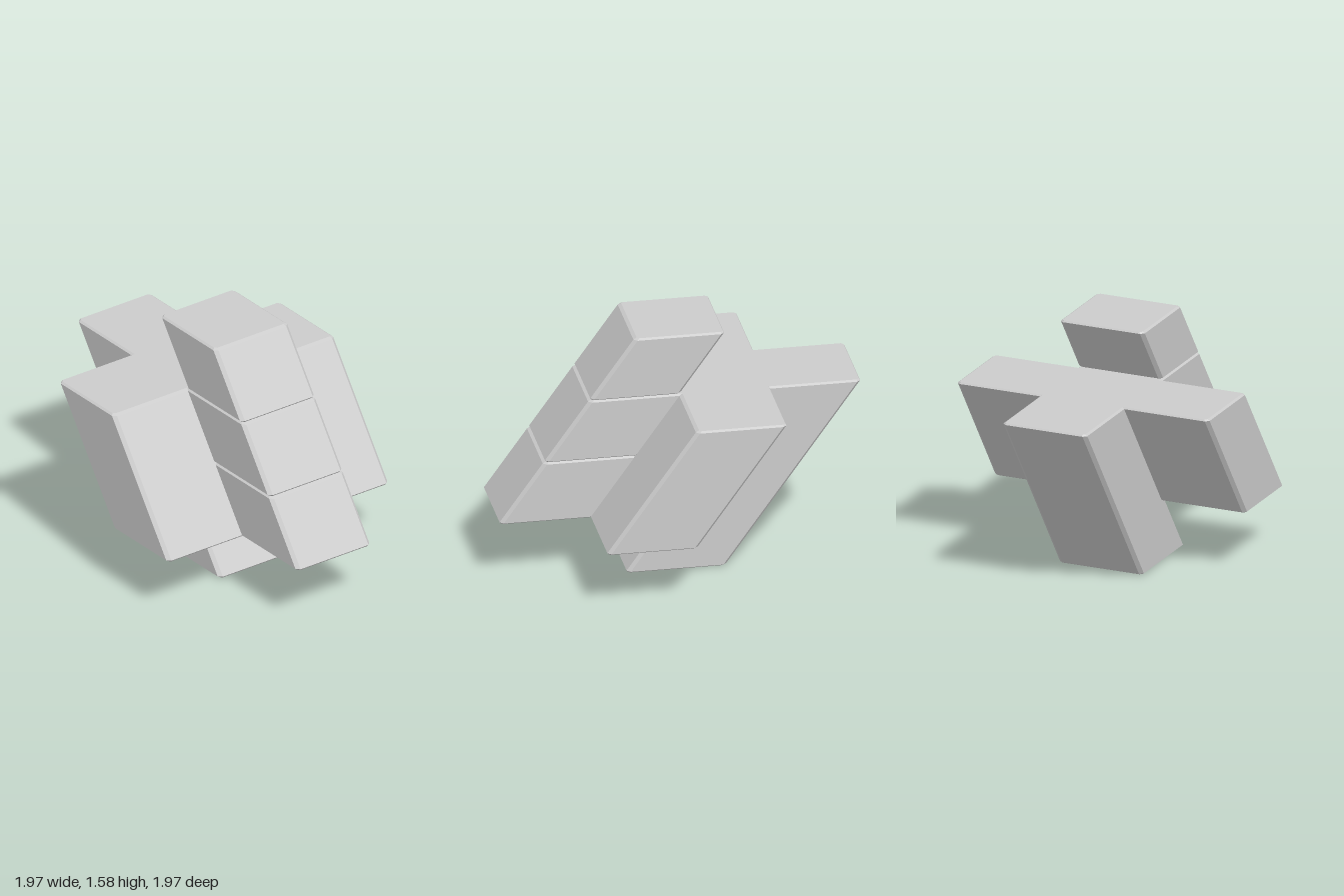
import * as THREE from 'three';

// Slanted lattice: cells run along u and v on the ground plane, w leads downward
const S = 0.402, H = 0.396, BEVEL = 0.025;
const lattice = new THREE.Matrix4().makeBasis(
  new THREE.Vector3(S, 0, -S),
  new THREE.Vector3(S, 0, S),
  new THREE.Vector3(S / 2, -H, S / 2),
).setPosition(0, 4 * H, 0);

// Chamfered block between lattice coordinates [u0,u1] x [v0,v1] x [w0,w1]
function block(name, [u0, u1], [v0, v1], [w0, w1], material) {
  const r = BEVEL, c = BEVEL;
  const a = u0 + r, b = u1 - r, d = v0 + r, e = v1 - r;
  const shape = new THREE.Shape([
    [a + c, d], [b - c, d], [b, d + c], [b, e - c],
    [b - c, e], [a + c, e], [a, e - c], [a, d + c],
  ].map(([x, y]) => new THREE.Vector2(x, y)));
  const geometry = new THREE.ExtrudeGeometry(shape, {
    depth: w1 - w0 - 2 * r, bevelEnabled: true,
    bevelSize: r, bevelThickness: r, bevelSegments: 1,
  });
  geometry.translate(0, 0, w0 + r);
  geometry.applyMatrix4(lattice);
  geometry.computeVertexNormals();
  const mesh = new THREE.Mesh(geometry, material);
  mesh.name = name;
  return mesh;
}

export function createModel() {
  const group = new THREE.Group();
  group.name = 'slantedBurrPuzzle';
  const material = new THREE.MeshStandardMaterial({ color: 0xcccccc, flatShading: true });
  const mid = [-0.5, 0.5];
  const inset = 0.1; // overlap that seats neighbouring blocks in the core

  group.add(
    // Wide bar forming the two side arms and the core
    block('crossBar', [-1.5, 1.5], [-1.5, -0.5], [1, 3], material),
    // Long bar at the back, reaching the ground
    block('backBar', mid, [-2.5, -1.5 + inset], [1, 4], material),
    // Front column of three stacked blocks
    block('topBlock', mid, [-0.5, 0.5], [0, 1], material),
    block('frontUpperBlock', mid, [-0.5 - inset, 0.5], [1, 2], material),
    block('frontLowerBlock', mid, [-0.5 - inset, 0.5], [2, 3], material),
  );
  return group;
}
